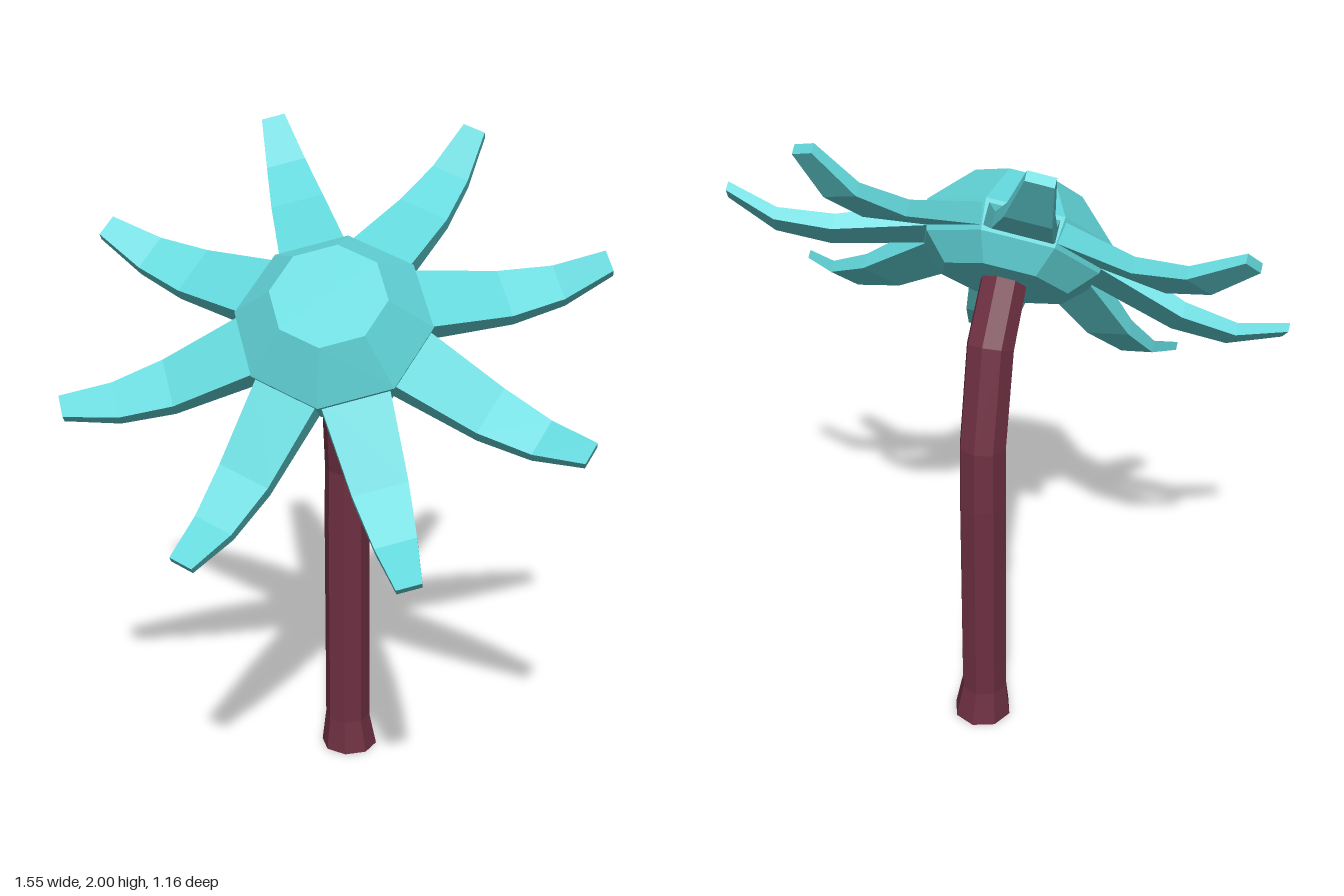
import * as THREE from 'three';

const petalMat = new THREE.MeshStandardMaterial({ color: 0x62d6da, flatShading: true });
const stemMat = new THREE.MeshStandardMaterial({ color: 0x6e3042, flatShading: true });

function named(geometry, material, name) {
  const mesh = new THREE.Mesh(geometry, material);
  mesh.name = name;
  return mesh;
}

// Octagonal stem: a cylinder whose rings follow a bending path.
function stemGeometry() {
  // [x, y, z, radius, lean of the ring about x]
  const rings = [
    [0.01, 0, -0.225, 0.09, 0],
    [0.005, 0.11, -0.222, 0.072, 0],
    [0, 0.8, -0.23, 0.072, 0.02],
    [0, 0.99, -0.227, 0.07, 0.13],
    [0, 1.28, -0.16, 0.07, 0.42],
    [0, 1.43, -0.05, 0.068, 0.72],
    [0, 1.5, 0.015, 0.065, 0.74],
  ];
  const geo = new THREE.CylinderGeometry(1, 1, 1, 8, rings.length - 1);
  const pos = geo.attributes.position;
  for (let i = 0; i < pos.count; i++) {
    const k = Math.round((pos.getY(i) + 0.5) * (rings.length - 1));
    const [x, y, z, r, lean] = rings[k];
    const c = pos.getZ(i) * r;
    pos.setXYZ(i, x + pos.getX(i) * r, y - Math.sin(lean) * c, z + Math.cos(lean) * c);
  }
  geo.computeVertexNormals();
  return geo;
}

// One petal along +x: a box that tapers, droops and lifts again at the tip.
function petalGeometry() {
  // [distance out, height, width, thickness]
  const sections = [
    [0.23, 0.052, 0.2, 0.066],
    [0.5, -0.036, 0.16, 0.045],
    [0.66, -0.048, 0.12, 0.036],
    [0.81, 0.0, 0.072, 0.026],
  ];
  const geo = new THREE.BoxGeometry(1, 1, 1, 3, 1, 1);
  const pos = geo.attributes.position;
  for (let i = 0; i < pos.count; i++) {
    const [out, height, width, thick] = sections[Math.round((pos.getX(i) + 0.5) * 3)];
    pos.setXYZ(i, out, height + pos.getY(i) * thick, pos.getZ(i) * width);
  }
  geo.computeVertexNormals();
  return geo;
}

export function createModel() {
  const model = new THREE.Group();
  model.name = 'flower';
  model.add(named(stemGeometry(), stemMat, 'stem'));

  // Tilted flower head; its own y axis is the facing direction.
  const head = new THREE.Group();
  head.name = 'flowerHead';
  head.position.set(0, 1.475, 0);
  head.rotation.set(0.738, -0.04, 0);
  model.add(head);

  // Faceted centre with a flat top, wide rim and shallow underside.
  const profile = [[0, -0.07], [0.19, -0.07], [0.265, 0.0], [0.285, 0.085], [0.167, 0.212], [0, 0.212]];
  const centre = new THREE.LatheGeometry(profile.map(([r, y]) => new THREE.Vector2(r, y)), 8);
  head.add(named(centre, petalMat, 'flowerCentre'));

  // Eight petals, one on each side of the centre.
  const petal = petalGeometry();
  for (let i = 0; i < 8; i++) {
    const mesh = named(petal, petalMat, 'petal' + (i + 1));
    mesh.rotation.y = (i + 0.5) * Math.PI / 4;
    head.add(mesh);
  }
  return model;
}
